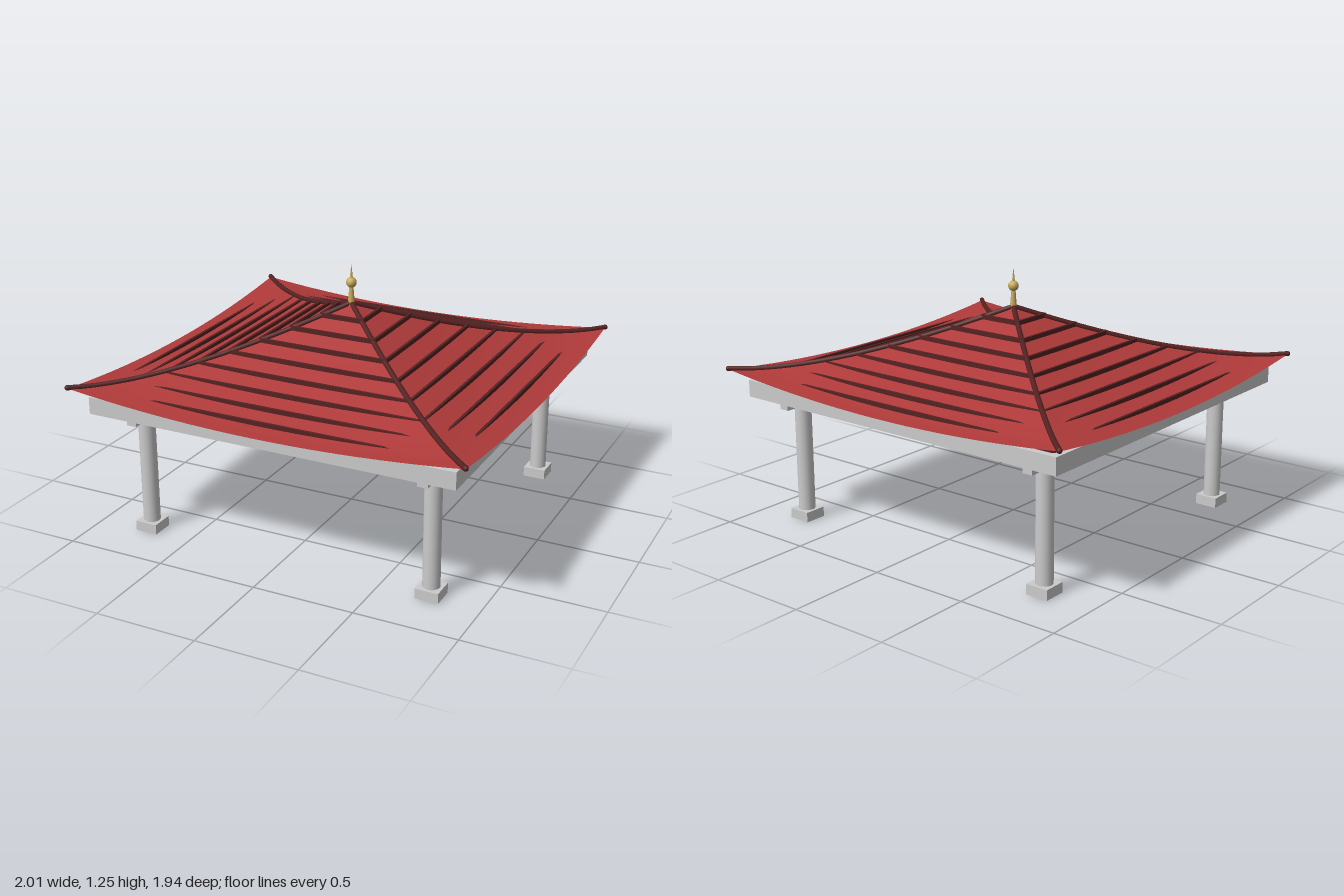
import * as THREE from 'three';

const HX = 0.991, HZ = 0.96; // roof half width and half depth

// Roof height: t runs from apex (0) to eave (1), s from hip (-1) to hip (1)
const roofY = (t, s) => 0.717 + 0.335 * Math.pow(1 - t, 1.42) + 0.06 * t ** 3 * s * s;

const mat = (color, side = THREE.FrontSide) => new THREE.MeshStandardMaterial({ color, side });

export function createModel() {
  const model = new THREE.Group();
  const grey = mat(0xcccccc);
  const red = mat(0xb03a3a, THREE.DoubleSide);
  const dark = mat(0x552222);
  const gold = mat(0xc8ac5c);

  const add = (name, geometry, material, x = 0, y = 0, z = 0, parent = model) => {
    const mesh = new THREE.Mesh(geometry, material);
    mesh.name = name;
    mesh.position.set(x, y, z);
    parent.add(mesh);
    return mesh;
  };
  const box = (name, w, y0, y1, d, x, z, parent) =>
    add(name, new THREE.BoxGeometry(w, y1 - y0, d), grey, x, (y0 + y1) / 2, z, parent);

  // Columns with plinth, neck and bracket block
  const colX = [-0.733, 0.749], colZ = 0.711;
  for (const x of colX) {
    for (const z of [-colZ, colZ]) {
      const column = new THREE.Group();
      column.name = 'column';
      column.position.set(x, 0, z);
      model.add(column);
      box('plinth', 0.113, 0, 0.05, 0.113, 0, 0, column);
      add('shaft', new THREE.CylinderGeometry(0.041, 0.041, 0.55, 20), grey, 0, 0.325, 0, column);
      box('neck', 0.088, 0.578, 0.592, 0.096, 0, 0, column);
      box('bracket', 0.1, 0.59, 0.637, 0.112, 0, 0, column);
    }
    // Beam running front to back over each pair of columns
    box('beam', 0.05, 0.588, 0.638, 1.67, x, 0);
  }

  // Slab under the roof
  box('ceilingSlab', 1.85, 0.637, 0.72, 1.785, 0, 0);

  // Four curved roof faces, each with its horizontal battens
  for (let k = 0; k < 4; k++) {
    const across = k % 2 ? HZ : HX;
    const out = k % 2 ? HX : HZ;
    const face = new THREE.Group();
    face.name = 'roofSide';
    face.rotation.y = k * Math.PI / 2;
    model.add(face);

    const sheet = new THREE.PlaneGeometry(2, 1, 24, 24);
    const p = sheet.attributes.position;
    for (let i = 0; i < p.count; i++) {
      const s = p.getX(i), t = 0.5 - p.getY(i);
      p.setXYZ(i, s * t * across, roofY(t, s), t * out);
    }
    sheet.computeVertexNormals();
    add('roofFace', sheet, red, 0, 0, 0, face);

    for (let i = 1; i <= 8; i++) {
      const t = i / 9;
      add('batten', new THREE.BoxGeometry(2 * t * across, 0.038, 0.013), dark,
        0, roofY(t, 0), t * out, face);
    }
  }

  // Hip ridges sweeping from the apex to the upturned corners
  for (const sx of [-1, 1]) {
    for (const sz of [-1, 1]) {
      const points = [];
      for (let i = 0; i <= 12; i++) {
        const t = i / 12;
        points.push(new THREE.Vector3(sx * t * HX, roofY(t, 1) + 0.004, sz * t * HZ));
      }
      const path = new THREE.CatmullRomCurve3(points);
      add('hipRidge', new THREE.TubeGeometry(path, 32, 0.013, 8), dark);
      add('ridgeEnd', new THREE.SphereGeometry(0.013, 10, 8), dark, ...points[12].toArray());
    }
  }

  // Finial: tapered stem, ball and spike
  const finial = new THREE.Group();
  finial.name = 'finial';
  model.add(finial);
  add('stem', new THREE.CylinderGeometry(0.01, 0.018, 0.1, 16), gold, 0, 1.09, 0, finial);
  add('ball', new THREE.SphereGeometry(0.026, 20, 14), gold, 0, 1.158, 0, finial);
  add('spike', new THREE.ConeGeometry(0.008, 0.075, 12), gold, 0, 1.2125, 0, finial);

  return model;
}
